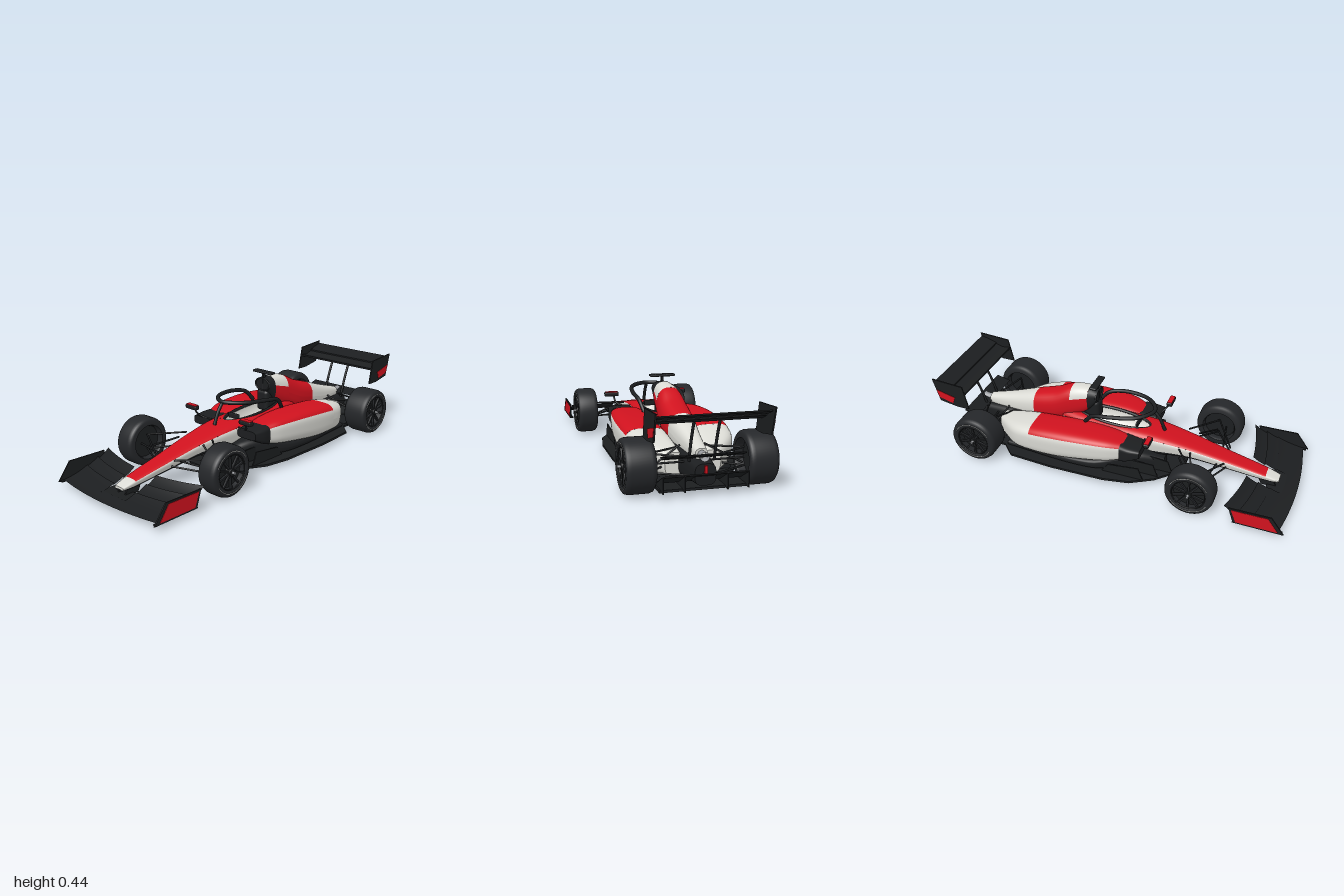
import * as THREE from 'three';
import { RoundedBoxGeometry } from 'three/addons/geometries/RoundedBoxGeometry.js';
import { ParametricGeometry } from 'three/addons/geometries/ParametricGeometry.js';

const mat = (color) => new THREE.MeshStandardMaterial({ color, side: THREE.DoubleSide });
const BLACK = mat(0x1c1e20), TYRE = mat(0x25272a), RED = mat(0xd0121e), WHITE = mat(0xdcdcd6), METAL = mat(0x9a9ca0);
const V = (x, y, z) => new THREE.Vector3(x, y, z);
const rad = Math.PI / 180;

// Smoothly interpolated section row [z, centreX, halfWidth, yBottom, yTop]
function sectionAt(rows, z) {
  let i = 0;
  while (i < rows.length - 2 && z < rows[i + 1][0]) i++;
  const a = rows[i], b = rows[i + 1], p = rows[Math.max(i - 1, 0)], n = rows[Math.min(i + 2, rows.length - 1)];
  const d = b[0] - a[0], t = (z - a[0]) / d, t2 = t * t, t3 = t2 * t;
  return a.map((v, k) => {
    const ma = (b[k] - p[k]) / (b[0] - p[0]) * d, mb = (n[k] - v) / (n[0] - a[0]) * d;
    return k ? v * (2 * t3 - 3 * t2 + 1) + ma * (t3 - 2 * t2 + t) + b[k] * (3 * t2 - 2 * t3) + mb * (t3 - t2) : z;
  });
}

// Body panel: rounded sections from z0 back to z1, covering angles a0..a1 (degrees or functions of z)
function loft(rows, z0, z1, a0 = 0, a1 = 360, p = 0.6, taper = 0, caps = true) {
  const N = 28, M = 32, pos = [], idx = [], ends = [];
  const val = (a, z) => (typeof a === 'function' ? a(z) : a);
  const pw = (v) => Math.sign(v) * Math.abs(v) ** p;
  for (let i = 0; i <= N; i++) {
    const [z, cx, hw, yb, yt] = sectionAt(rows, z0 + (z1 - z0) * i / N);
    for (let j = 0; j <= M; j++) {
      const a = THREE.MathUtils.lerp(val(a0, z), val(a1, z), j / M) * rad, s = pw(Math.sin(a));
      pos.push(cx + hw * pw(Math.cos(a)) * (1 - taper * (1 - s) / 2), (yb + yt) / 2 + (yt - yb) / 2 * s, z);
      if (i < N && j < M) {
        const q = i * (M + 1) + j, r = q + M + 1;
        idx.push(q, r, q + 1, r, r + 1, q + 1);
      }
    }
    if (i === 0 || i === N) ends.push([i, cx, (yb + yt) / 2, z]);
  }
  if (caps) for (const [i, cx, cy, z] of ends) {
    const c = pos.length / 3, base = i * (M + 1) * 3;
    const ring = pos.slice(base, base + (M + 1) * 3);
    pos.push(cx, cy, z, ...ring);
    for (let j = 1; j <= M; j++) i === 0 ? idx.push(c, c + j, c + j + 1) : idx.push(c, c + j + 1, c + j);
  }
  const g = new THREE.BufferGeometry();
  g.setAttribute('position', new THREE.Float32BufferAttribute(pos, 3));
  g.setIndex(idx);
  g.computeVertexNormals();
  return g;
}

// Side profile given as [z, y] points, extruded to thickness t around x
function plate(pts, x, t) {
  const shape = new THREE.Shape(pts.map(([z, y]) => new THREE.Vector2(z, y)));
  return new THREE.ExtrudeGeometry(shape, { depth: t, bevelEnabled: false }).rotateY(-Math.PI / 2).translate(x + t / 2, 0, 0);
}

const box = (w, h, d, x, y, z) => new THREE.BoxGeometry(w, h, d).translate(x, y, z);
const tube = (pts, r) => new THREE.TubeGeometry(new THREE.CatmullRomCurve3(pts), 48, r, 10);
function rod(a, b, r) {
  return new THREE.TubeGeometry(new THREE.LineCurve3(a, b), 1, r, 8);
}

function wheel(name, width) {
  const g = new THREE.Group(), h = width / 2;
  g.name = name;
  const add = (n, geo, m) => { const o = new THREE.Mesh(geo, m); o.name = n; g.add(o); };
  const profile = [[.092, -h], [.115, -h], [.125, -h + .008], [.13, -h + .024], [.13, h - .024], [.125, h - .008],
    [.115, h], [.092, h], [.086, h - .012], [.086, -h + .012], [.092, -h]].map(([r, y]) => new THREE.Vector2(r, y));
  add('tyre', new THREE.LatheGeometry(profile, 56).rotateZ(-Math.PI / 2), TYRE);
  add('rimBack', new THREE.CylinderGeometry(.087, .087, width * .4, 40).rotateZ(Math.PI / 2), BLACK);
  add('rimEdge', new THREE.TorusGeometry(.088, .004, 8, 48).rotateY(Math.PI / 2).translate(h - .006, 0, 0), BLACK);
  for (let i = 0; i < 10; i++)
    add('spoke', new THREE.BoxGeometry(.012, .074, .009).translate(h - .014, .05, 0).rotateX(i * Math.PI / 5), TYRE);
  add('hub', new THREE.CylinderGeometry(.018, .022, .03, 20).rotateZ(-Math.PI / 2).translate(h - .015, 0, 0), BLACK);
  add('wheelNut', new THREE.CylinderGeometry(.007, .007, .02, 12).rotateZ(Math.PI / 2).translate(h + .006, 0, 0), METAL);
  for (const k of [0, 1])
    add('sidewallStripe', new THREE.TorusGeometry(.106, .0014, 6, 32, 2.2).rotateZ(k * Math.PI + .5).rotateY(Math.PI / 2).translate(h, 0, 0), WHITE);
  return g;
}

export function createModel() {
  const car = new THREE.Group();
  car.name = 'racingCar';
  const add = (name, geo, m = BLACK) => { const o = new THREE.Mesh(geo, m); o.name = name; car.add(o); return o; };

  // Nose and cockpit tub, split into red top, white flanks and dark underside
  const tub = [[.89, 0, .034, .062, .082], [.82, 0, .046, .062, .104], [.6, 0, .064, .085, .152], [.4, 0, .085, .105, .195],
    [.2, 0, .108, .085, .228], [0, 0, .115, .06, .24], [-.2, 0, .11, .05, .25], [-.32, 0, .08, .05, .25]];
  const zc = -.04, half = .21;
  const gap = (z) => Math.asin((.6 * Math.sqrt(Math.max(0, 1 - ((z - zc) / half) ** 2))) ** (1 / .6)) / rad;
  add('noseTip', loft(tub, .89, .82, -10, 190, .6, .25), WHITE);
  add('noseTop', loft(tub, .82, zc + half, 32, 148, .6, .25, false), RED);
  for (const [a0, a1] of [[32, (z) => 90 - gap(z)], [(z) => 90 + gap(z), 148]])
    add('cockpitSurround', loft(tub, zc + half, -.32, a0, a1, .6, .25, false), RED);
  for (const a of [-10, 148]) add('noseFlank', loft(tub, .82, -.32, a, a + 42, .6, .25, false), WHITE);
  add('tubUnderside', loft(tub, .89, -.32, 190, 350, .6, .25));
  add('cockpitBowl', new THREE.SphereGeometry(1, 32, 12, 0, Math.PI * 2, Math.PI / 2, Math.PI / 2).scale(.066, .09, half).translate(0, .234, zc), WHITE);
  const rim = Array.from({ length: 24 }, (_, i) => V(.068 * Math.cos(i * Math.PI / 12), .236 - .012 * Math.sin(i * Math.PI / 12), zc + half * Math.sin(i * Math.PI / 12)));
  add('cockpitRim', new THREE.TubeGeometry(new THREE.CatmullRomCurve3(rim, true), 60, .008, 8, true));
  add('steeringWheel', new RoundedBoxGeometry(.075, .03, .012, 2, .005).translate(0, .235, .1));
  add('headrest', new RoundedBoxGeometry(.08, .12, .1, 3, .02).translate(0, .27, -.17));

  // Halo guard
  const arm = [[.105, .245, -.17], [.12, .3, -.12], [.13, .322, -.03], [.105, .332, .1], [.055, .335, .165]];
  add('halo', tube([...arm.map(([x, y, z]) => V(-x, y, z)), V(0, .335, .19), ...arm.reverse().map(([x, y, z]) => V(x, y, z))], .011));
  add('haloStrut', tube([V(0, .335, .185), V(0, .29, .22), V(0, .222, .25)], .009));

  // Air intake and engine cover
  const cover = [[-.13, 0, .053, .325, .398], [-.18, 0, .056, .26, .402], [-.28, 0, .068, .2, .39], [-.38, 0, .076, .16, .342],
    [-.5, 0, .07, .14, .302], [-.65, 0, .05, .13, .25], [-.8, 0, .03, .15, .205]];
  add('airIntake', loft(cover, -.13, -.18, 0, 360, .8));
  add('intakeRing', new THREE.TorusGeometry(1, .09, 8, 40).scale(.05, .034, .06).translate(0, .362, -.13), TYRE);
  add('intakeRib', box(.004, .07, .004, 0, .362, -.13), TYRE);
  add('intakeCover', loft(cover, -.18, -.28, 15, 165, .8, 0, false), WHITE);
  add('coverShoulder', loft(cover, -.18, -.28, 165, 375, .8), RED);
  add('engineCover', loft(cover, -.28, -.5, 0, 360, .8), RED);
  add('engineCoverTail', loft(cover, -.5, -.8, 0, 360, .8), WHITE);
  add('exhaust', new THREE.CylinderGeometry(.018, .022, .06, 20, 1, true).rotateX(Math.PI / 2).translate(0, .178, -.82), METAL);
  add('cameraPole', box(.01, .035, .015, 0, .412, -.14));
  add('cameraBar', new RoundedBoxGeometry(.134, .013, .04, 2, .006).translate(0, .431, -.14));

  // Floor, plank and diffuser
  const edge = [[.05, .38], [.12, .34], [.2, .26], [.27, .14], [.295, 0], [.3, -.3], [.285, -.55], [.215, -.62], [.21, -.85]];
  const outline = [...edge, ...edge.slice().reverse().map(([x, z]) => [-x, z])].map(([x, z]) => new THREE.Vector2(x, -z));
  add('floor', new THREE.ExtrudeGeometry(new THREE.Shape(outline), { depth: .012, bevelEnabled: false }).rotateX(-Math.PI / 2).translate(0, .028, 0));
  add('plank', box(.1, .008, 1.1, 0, .024, -.18), TYRE);
  add('gearbox', loft([[-.3, 0, .1, .04, .2], [-.6, 0, .08, .04, .18], [-.86, 0, .05, .05, .15]], -.3, -.86));
  add('diffuser', plate([[-.65, .035], [-.78, .05], [-.88, .105], [-.88, .112], [-.78, .06], [-.65, .042]], 0, .4));
  for (const x of [-.2, -.1, .1, .2]) add('diffuserFin', plate([[-.68, .03], [-.88, .03], [-.88, .11], [-.78, .055]], x, .005));
  add('beamWing', plate([[-.79, .175], [-.83, .172], [-.87, .19], [-.87, .196], [-.82, .183]], 0, .38));
  add('rearLight', box(.014, .035, .01, 0, .125, -.865), RED);

  // Rear wing
  add('rearWingMain', plate([[-.81, .352], [-.86, .342], [-.91, .365], [-.91, .372], [-.86, .354], [-.81, .362]], 0, .53));
  add('rearWingFlap', plate([[-.895, .372], [-.95, .383], [-.988, .4], [-.988, .407], [-.94, .395], [-.895, .38]], 0, .51));

  for (const s of [-1, 1]) {
    const P = (x, y, z) => V(s * x, y, z);
    const ang = (a0, a1) => (s > 0 ? [a0, a1] : [180 - a1, 180 - a0]);

    // Sidepod with inlet and undercut
    const row = (z, inner, outer, yb, yt) => [z, s * (inner + outer) / 2, (outer - inner) / 2, yb, yt];
    const pod = [row(.08, .08, .225, .118, .222), row(0, .07, .255, .1, .238), row(-.15, .06, .278, .08, .245), row(-.3, .06, .284, .062, .24),
      row(-.44, .055, .275, .055, .225), row(-.55, .05, .245, .05, .202), row(-.68, .05, .14, .05, .16)];
    add('sidepodTop', loft(pod, .08, -.44, ...ang(28, 180), .6, .12, false), RED);
    add('sidepodSide', loft(pod, .08, -.44, ...ang(180, 388), .6, .12, false), WHITE);
    add('sidepodTail', loft(pod, -.44, -.68, 0, 360, .6, .12), WHITE);
    add('sidepodInlet', loft([row(.18, .1, .225, .165, .212), row(.12, .09, .235, .135, .218), row(.07, .08, .232, .116, .222)], .18, .07, 0, 360, .4));
    add('undercut', loft([row(.28, .04, .1, .035, .1), row(.12, .04, .18, .035, .15), row(-.1, .04, .25, .035, .1), row(-.6, .04, .22, .035, .07)], .28, -.6));
    for (let i = 0; i < 3; i++) {
      const x = .12 + i * .055, z = .34 - i * .065;
      add('floorFence', plate([[z, .03], [z - .03, .11], [z - .2, .13 - i * .02], [z - .24, .035]], s * x, .006));
    }

    // Mirror
    add('mirror', new RoundedBoxGeometry(.08, .024, .032, 3, .007).translate(s * .197, .272, .22));
    add('mirrorCap', box(.07, .004, .026, s * .197, .284, .22), RED);
    add('mirrorStalk', tube([P(.185, .264, .215), P(.18, .235, .2), P(.155, .215, .18), P(.1, .21, .17)], .005));

    // Front wing: four stepped elements, neutral centre section and endplate
    for (let k = 0; k < 4; k++) {
      add('frontWingElement', new ParametricGeometry((u, v, out) => {
        const x = k === 0 ? u * .355 : .08 + u * .275, w = (x / .355) ** 2;
        const t = (k + v * 1.1) / 4.1, lift = .072 * t ** 1.3 + .006 * k * v * v;
        out.set(s * x, .034 + lift * (.85 + .15 * w), THREE.MathUtils.lerp(.99 - .035 * w, .73 - .055 * w, t));
      }, 16, 6));
    }
    add('frontWingCentre', box(.1, .01, .1, s * .05, .038, .88));
    add('noseMount', plate([[.88, .035], [.8, .035], [.78, .075], [.86, .075]], s * .025, .008));
    add('frontEndplate', plate([[.985, .03], [.915, .122], [.7, .118], [.73, .03]], s * .357, .007));
    add('endplatePanel', plate([[.955, .038], [.9, .113], [.715, .11], [.742, .038]], s * .361, .003), RED);
    add('endplateFoot', box(.02, .006, .25, s * .35, .032, .85));

    // Rear wing endplate and support
    add('rearEndplate', plate([[-.79, .272], [-.818, .408], [-1, .42], [-.965, .29], [-.86, .272]], s * .266, .007));
    add('rearEndplatePanel', plate([[-.87, .33], [-.982, .358], [-.967, .312], [-.885, .29]], s * .27, .003), RED);
    add('rearWingSupport', tube([P(.06, .15, -.8), P(.06, .25, -.83), P(.06, .35, -.87)], .007));

    // Wheels
    for (const [name, x, z, w] of [['frontWheel', .302, .49, .112], ['rearWheel', .288, -.735, .14]]) {
      const g = wheel(name, w);
      g.position.set(s * x, .13, z);
      if (s < 0) g.rotation.y = Math.PI;
      car.add(g);
    }

    // Suspension arms
    const arms = [[.26, .17, .49, .07, .145, .6], [.26, .17, .49, .095, .19, .36], [.26, .09, .49, .06, .115, .61], [.26, .09, .49, .085, .125, .36],
      [.26, .1, .48, .09, .18, .42], [.26, .13, .53, .07, .13, .56], [.23, .18, -.735, .06, .17, -.62], [.23, .18, -.735, .04, .165, -.8],
      [.23, .09, -.735, .06, .09, -.58], [.23, .09, -.735, .05, .09, -.83], [.23, .13, -.735, .04, .13, -.735], [.23, .1, -.72, .06, .19, -.66]];
    for (const [x, y, z, x2, y2, z2] of arms) add('suspensionArm', rod(P(x, y, z), P(x2, y2, z2), .005));
  }
  return car;
}
